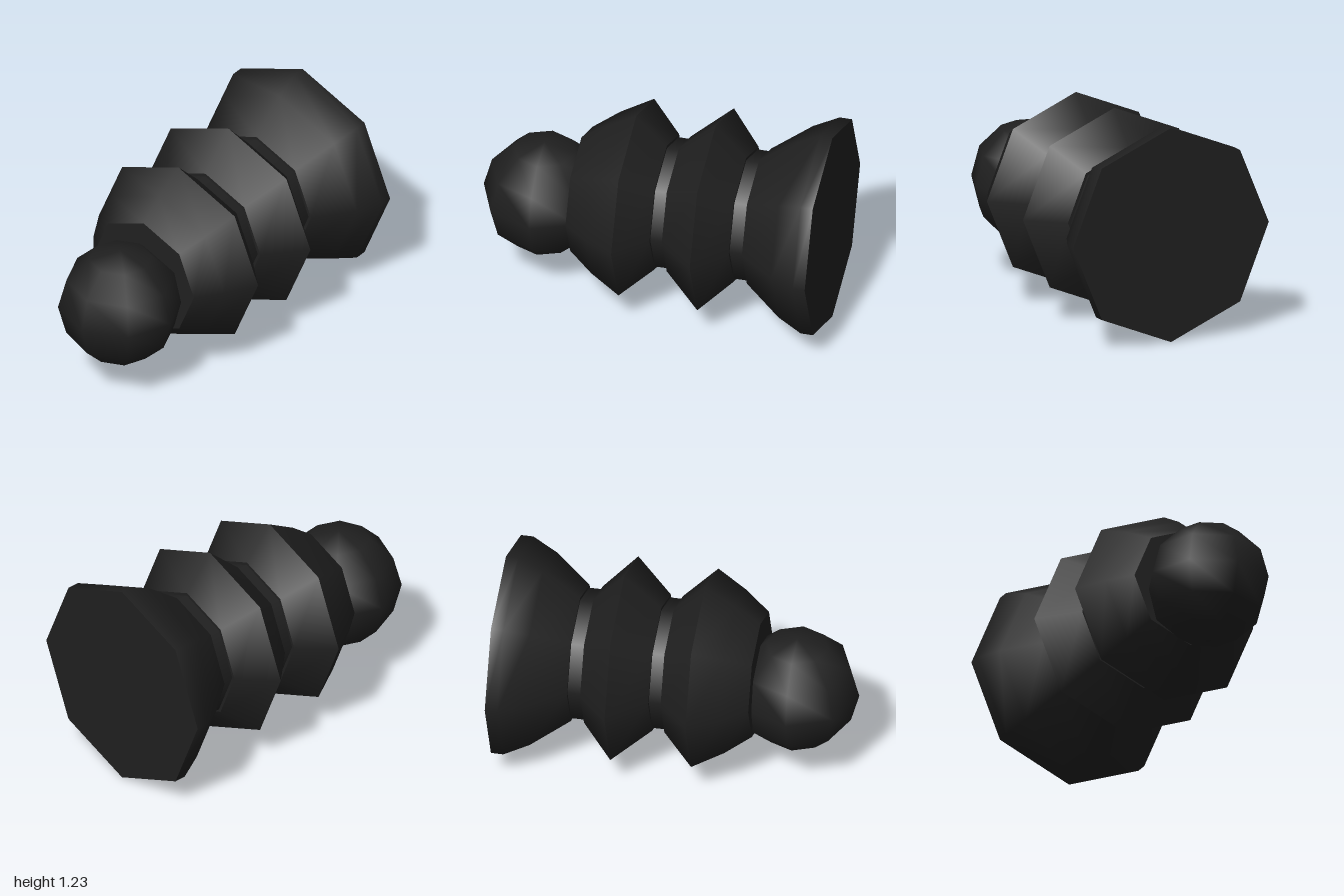
import * as THREE from 'three';
import { mergeGeometries } from 'three/addons/utils/BufferGeometryUtils.js';

const AXIS_Y = 0.615;

// Octagonal turned part along z; each band is smooth inside and sharp at its ends.
function turned(name, bands, material) {
  const lathes = bands.map(band =>
    new THREE.LatheGeometry(band.map(([r, z]) => new THREE.Vector2(r, z)), 8));
  const geometry = mergeGeometries(lathes);
  geometry.rotateX(Math.PI / 2);
  const mesh = new THREE.Mesh(geometry, material);
  mesh.name = name;
  mesh.position.y = AXIS_Y;
  return mesh;
}

export function createModel() {
  const group = new THREE.Group();
  group.name = 'ribbedPlug';
  const black = new THREE.MeshStandardMaterial({ color: 0x202020 });
  black.name = 'matteBlack';

  // Flared base, closed at the back
  group.add(turned('flaredBase', [
    [[0, -1], [0.615, -1]],
    [[0.615, -1], [0.615, -0.93], [0.545, -0.79], [0.385, -0.58]],
    [[0.385, -0.58], [0, -0.58]],
  ], black));

  // Middle rib
  group.add(turned('middleRib', [
    [[0, -0.505], [0.385, -0.505]],
    [[0.385, -0.505], [0.575, -0.33]],
    [[0.575, -0.33], [0.385, -0.12]],
    [[0.385, -0.12], [0, -0.12]],
  ], black));

  // Front rib with its flat face
  group.add(turned('frontRib', [
    [[0, -0.05], [0.385, -0.05]],
    [[0.385, -0.05], [0.56, 0.125]],
    [[0.56, 0.125], [0.46, 0.3], [0.353, 0.44]],
    [[0.353, 0.44], [0, 0.44]],
  ], black));

  // Short necks between the ribs
  for (const [name, back, front] of [['rearNeck', -0.58, -0.505], ['frontNeck', -0.12, -0.05]]) {
    group.add(turned(name, [[[0.368, back], [0.368, front]]], black));
  }

  // Ball tip, slightly below the axis
  const ball = new THREE.Mesh(new THREE.SphereGeometry(0.35, 8, 6), black);
  ball.name = 'ballTip';
  ball.position.set(0, 0.548, 0.65);
  group.add(ball);

  return group;
}
